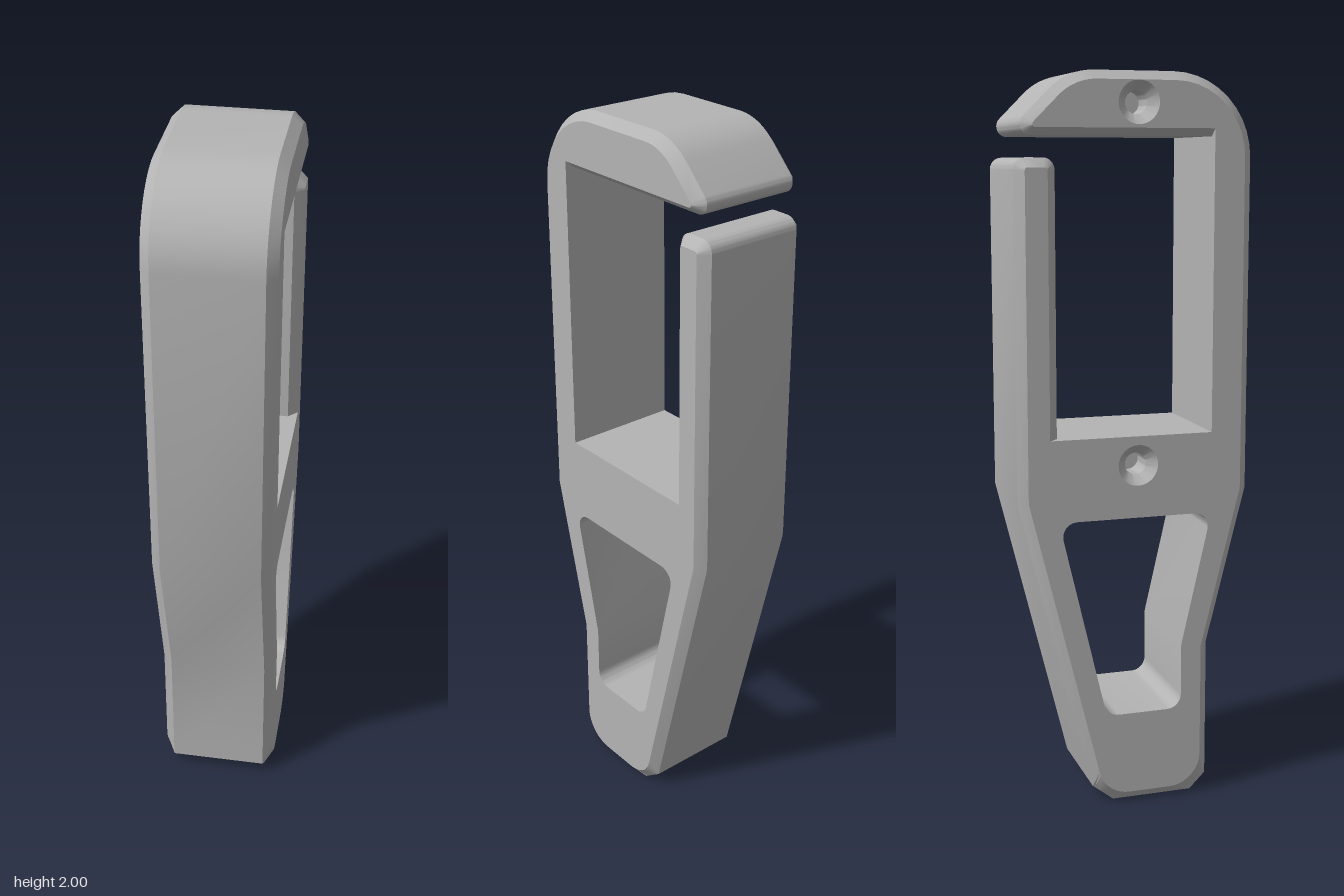
import * as THREE from 'three';
import { toCreasedNormals } from 'three/addons/utils/BufferGeometryUtils.js';

const HALF = 0.163;   // half width of the body
const FLAT = 0.137;   // half width of the band between the chamfers
const SEG = 10;       // points per rounded corner

// Corners [z, y, radius]; a negative radius makes a straight cut of that length.
// Every corner yields SEG + 1 points so that rings can be joined one to one.
function ring(corners) {
  const pts = [];
  corners.forEach(([z, y, r = 0], i) => {
    const n = corners.length;
    const c = new THREE.Vector2(z, y);
    const toward = (k) => new THREE.Vector2(corners[k][0], corners[k][1]).sub(c).normalize();
    const a = toward((i + n - 1) % n), b = toward((i + 1) % n);
    const half = Math.acos(a.dot(b)) / 2;
    const len = r < 0 ? -r : r / Math.tan(half);
    const p = c.clone().addScaledVector(a, len), q = c.clone().addScaledVector(b, len);
    const centre = c.clone().addScaledVector(a.clone().add(b).normalize(), r / Math.sin(half));
    const sweep = Math.PI - 2 * half;
    for (let s = 0; s <= SEG; s++) {
      const t = s / SEG;
      if (r <= 0) pts.push(p.clone().lerp(q, t));
      else {
        const u = p.clone().sub(centre).multiplyScalar(Math.sin((1 - t) * sweep) / Math.sin(sweep));
        const v = q.clone().sub(centre).multiplyScalar(Math.sin(t * sweep) / Math.sin(sweep));
        pts.push(centre.clone().add(u).add(v));
      }
    }
  });
  return pts;
}

// Walls between successive rings [x, points]
function loft(rings) {
  const pos = [];
  const tri = (a, b, c) => {
    if (new THREE.Triangle(a, b, c).getArea() > 1e-9) pos.push(...a, ...b, ...c);
  };
  for (let k = 0; k + 1 < rings.length; k++) {
    const [x0, r0] = rings[k], [x1, r1] = rings[k + 1];
    r0.forEach((_, i) => {
      const j = (i + 1) % r0.length;
      const at = (x, p) => new THREE.Vector3(x, p.y, p.x);
      const a = at(x0, r0[i]), b = at(x0, r0[j]), c = at(x1, r1[j]), d = at(x1, r1[i]);
      tri(a, d, c);
      tri(a, c, b);
    });
  }
  const g = new THREE.BufferGeometry();
  g.setAttribute('position', new THREE.Float32BufferAttribute(pos, 3));
  return toCreasedNormals(g, Math.PI / 7);
}

// Flat side face at x = sign * HALF
function sideFace(outline, holes, sign) {
  const prep = (pts) => pts
    .filter((p, i) => p.distanceTo(pts[(i + 1) % pts.length]) > 1e-6)
    .map((p) => new THREE.Vector2(-sign * p.x, p.y));
  const shape = new THREE.Shape(prep(outline));
  holes.forEach((h) => shape.holes.push(new THREE.Path(prep(h))));
  return new THREE.ShapeGeometry(shape).rotateY(sign * Math.PI / 2).translate(sign * HALF, 0, 0);
}

export function createModel() {
  const model = new THREE.Group();
  const grey = new THREE.MeshStandardMaterial({ color: 0xb4b4b4 });
  const add = (name, geometry) => {
    const mesh = new THREE.Mesh(geometry, grey);
    mesh.name = name;
    model.add(mesh);
    return mesh;
  };

  // Full outline: front post, hook, inner opening, gate post, tapered foot
  const full = ring([
    [0.325, 0.88], [0.325, 2.0, 0.22], [-0.18, 2.0, 0.17], [-0.345, 1.835, 0.028],
    [0.215, 1.835], [0.215, 1.045], [-0.215, 1.045],
    [-0.215, 1.78, 0.032], [-0.325, 1.78, 0.032], [-0.325, 0.875],
    [-0.1076, 0, -0.048], [0.215, 0, -0.045], [0.215, 0.44],
  ]);
  // The same outline drawn in at the sides by the chamfer
  const inset = ring([
    [0.3, 0.884], [0.3, 1.976, 0.195], [-0.168, 1.976, 0.145], [-0.29, 1.855, 0.008],
    [0.215, 1.855], [0.215, 1.045], [-0.24, 1.045],
    [-0.24, 1.755, 0.008], [-0.3, 1.755, 0.008], [-0.3, 0.878],
    [-0.089, 0.027, 0.09], [0.19, 0.027, 0.09], [0.19, 0.437],
  ]);
  // Tapered window in the lower half
  const window = ring([
    [0.217, 0.82, 0.04], [-0.217, 0.82, 0.04], [-0.085, 0.26, 0.045],
    [0.132, 0.26, 0.04], [0.132, 0.445, 0.04],
  ]);

  // Countersunk screw holes on the right side
  const screws = [[0.005, 1.92], [0.005, 0.965]];
  const rims = screws.map(([z, y]) => Array.from({ length: 32 }, (_, i) => {
    const a = (i / 32) * Math.PI * 2;
    return new THREE.Vector2(z + 0.056 * Math.sin(a), y + 0.056 * Math.cos(a));
  }));

  add('bodyRim', loft([[-HALF, inset], [-FLAT, full], [FLAT, full], [HALF, inset]]));
  add('lowerWindowWall', loft([[-HALF, window.slice().reverse()], [HALF, window.slice().reverse()]]));
  add('leftSide', sideFace(inset, [window], 1));
  add('rightSide', sideFace(inset, [window, ...rims], -1));

  const bore = [[0.056, 0], [0.03, -0.028], [0.03, -0.1], [0, -0.1]].map((p) => new THREE.Vector2(...p));
  screws.forEach(([z, y]) => {
    const g = toCreasedNormals(new THREE.LatheGeometry(bore, 32).rotateZ(Math.PI / 2), Math.PI / 7);
    add('screwHole', g).position.set(-HALF, y, z);
  });
  return model;
}
